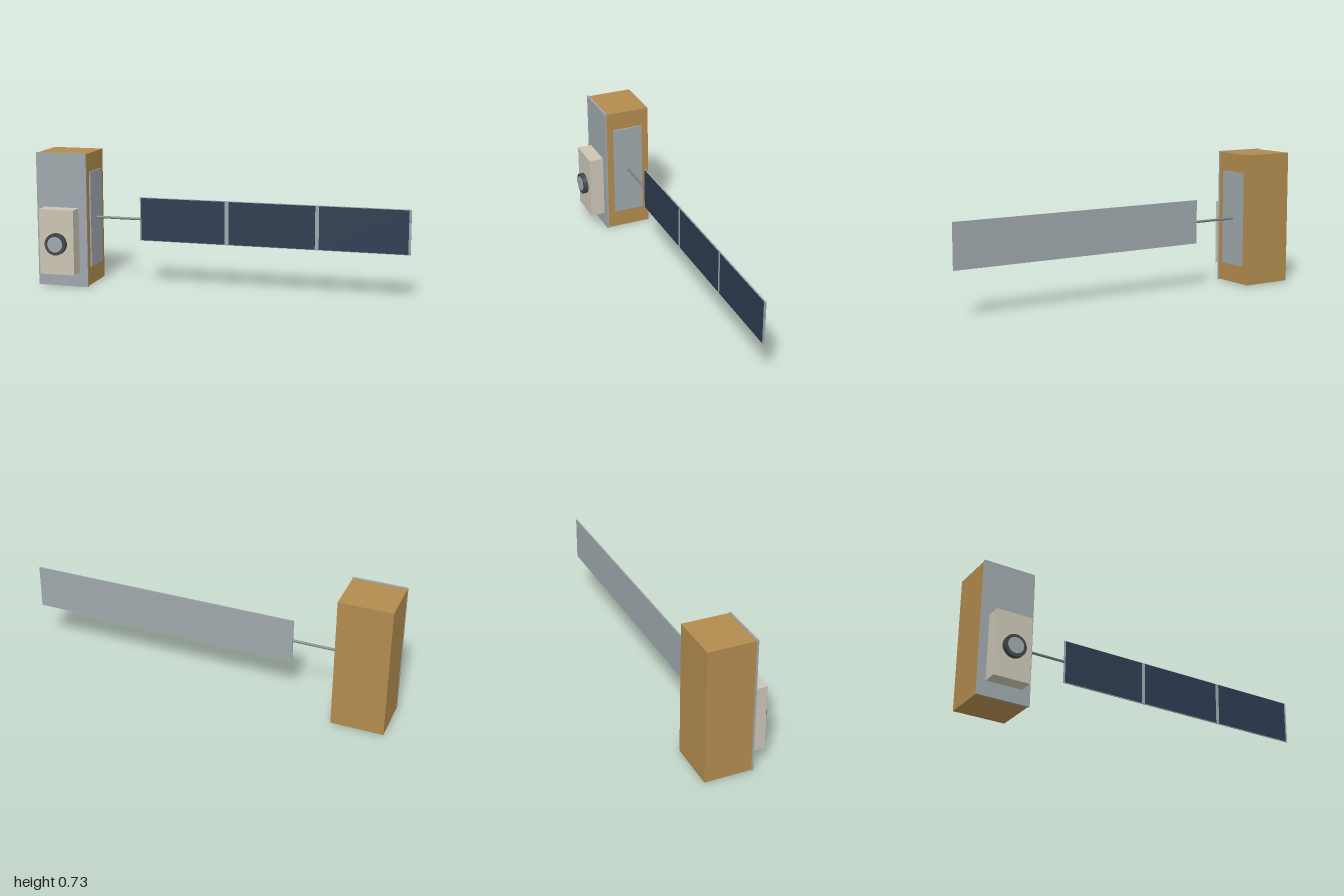
import * as THREE from 'three';

const mat = (name, color) => {
  const m = new THREE.MeshStandardMaterial({ color });
  m.name = name;
  return m;
};

export function createModel() {
  const gold = mat('gold foil', 0xb28b4e);
  const grey = mat('panel grey', 0x9ea7ac);
  const cream = mat('instrument cream', 0xcac4b4);
  const dark = mat('lens barrel dark', 0x40474b);
  const boomGrey = mat('boom grey', 0x7a8287);
  const blue = mat('solar cell blue', 0x2c3b50);

  const model = new THREE.Group();
  model.name = 'satellite';

  // Box given by its minimum and maximum corners
  const box = (name, material, [x0, y0, z0], [x1, y1, z1]) => {
    const mesh = new THREE.Mesh(new THREE.BoxGeometry(x1 - x0, y1 - y0, z1 - z0), material);
    mesh.position.set((x0 + x1) / 2, (y0 + y1) / 2, (z0 + z1) / 2);
    mesh.name = name;
    model.add(mesh);
  };

  // Cylinder lying along z
  const disc = (name, material, r, z0, z1) => {
    const geo = new THREE.CylinderGeometry(r, r, z1 - z0, 32).rotateX(Math.PI / 2);
    const mesh = new THREE.Mesh(geo, material);
    mesh.position.set(-0.859, 0.249, (z0 + z1) / 2);
    mesh.name = name;
    model.add(mesh);
  };

  // Main body, front plate and side radiator
  box('body', gold, [-0.998, 0.005, -0.184], [-0.718, 0.724, 0.065]);
  box('frontPlate', grey, [-1, 0.001, 0.065], [-0.716, 0.728, 0.075]);
  box('sideRadiator', grey, [-0.718, 0.105, -0.143], [-0.71, 0.623, 0.027]);

  // Instrument housing with its lens
  box('instrumentHousing', cream, [-0.957, 0.08, 0.075], [-0.762, 0.433, 0.156]);
  disc('lensBarrel', dark, 0.059, 0.156, 0.181);
  disc('lensGlass', grey, 0.042, 0.181, 0.185);

  // Boom carrying the solar wing
  const boom = new THREE.Mesh(
    new THREE.CylinderGeometry(0.007, 0.007, 0.26, 16).rotateZ(Math.PI / 2), boomGrey);
  boom.position.set(-0.588, 0.365, -0.058);
  boom.name = 'boom';
  model.add(boom);

  // Solar wing: backing sheet and three cell panels on the front
  box('wingBacking', grey, [-0.46, 0.247, -0.062], [1, 0.484, -0.055]);
  for (let i = 0; i < 3; i++) {
    const x = -0.452 + i * 0.487;
    box('solarCells' + (i + 1), blue, [x, 0.25, -0.055], [x + 0.466, 0.481, -0.053]);
  }

  return model;
}
